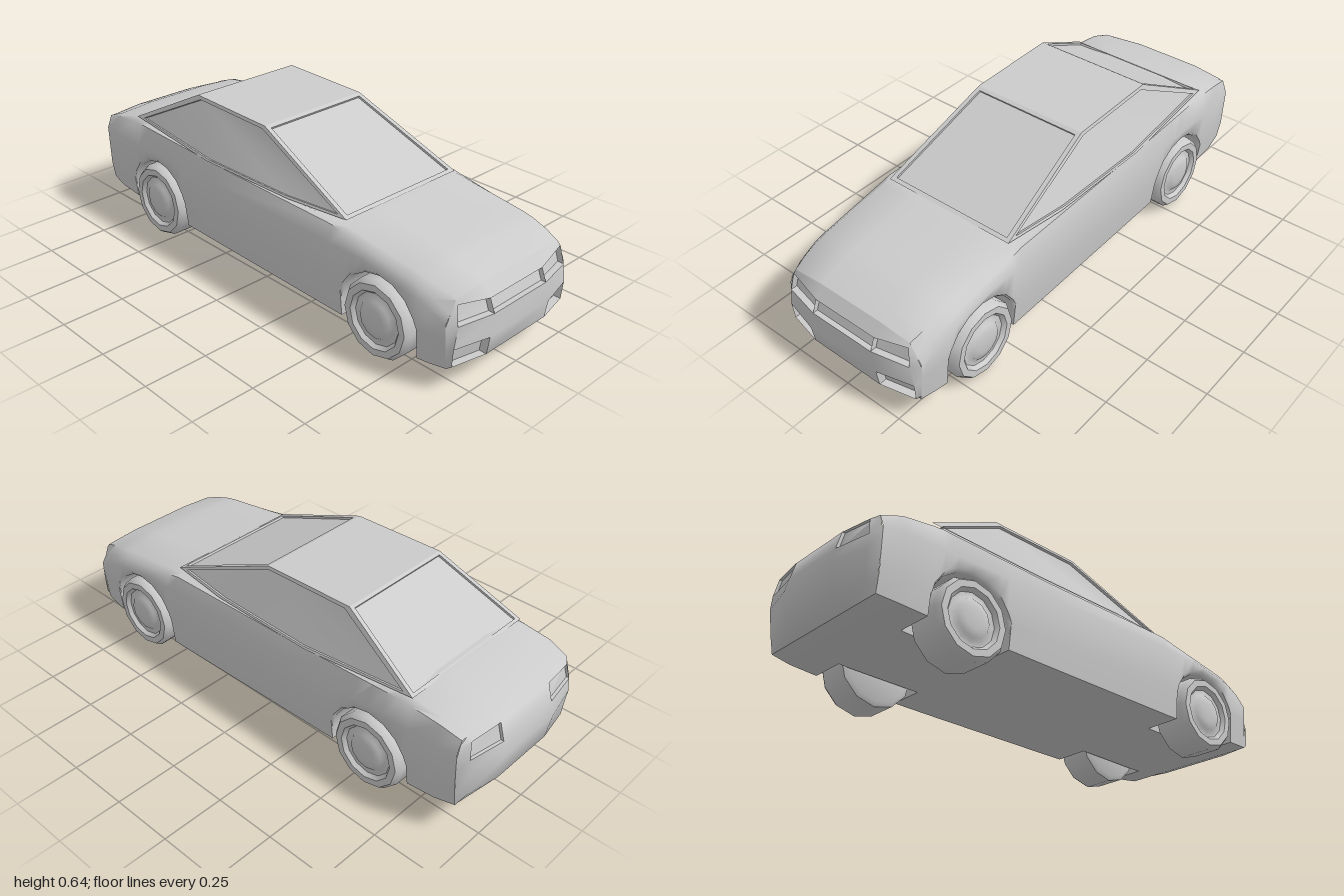
import * as THREE from 'three';
import { toCreasedNormals } from 'three/addons/utils/BufferGeometryUtils.js';

const AXLES = [0.655, -0.565];
const WHEEL_Y = 0.152;
const grey = new THREE.MeshStandardMaterial({ color: 0xcccccc });

// Mesh from a list of convex polygons (counter-clockwise from outside)
function polyMesh(name, polys, crease = 0.9) {
  const pos = [];
  for (const p of polys)
    for (let i = 1; i < p.length - 1; i++) pos.push(...p[0], ...p[i], ...p[i + 1]);
  let geo = new THREE.BufferGeometry();
  geo.setAttribute('position', new THREE.Float32BufferAttribute(pos, 3));
  geo = toCreasedNormals(geo, crease);
  const mesh = new THREE.Mesh(geo, grey);
  mesh.name = name;
  return mesh;
}

const mirror = ([x, y, z]) => [-x, y, z];
const shift = (p, d) => p.map((v, i) => v + d[i]);

// Walls joining an outer loop to an inner loop
const band = (outer, inner) => outer.map((p, i) => {
  const j = (i + 1) % outer.length;
  return [p, outer[j], inner[j], inner[i]];
});

// Body key sections: z, underside, half width, shoulder height, top height
const KEYS = [
  [0.94, 0.085, 0.315, 0.29, 0.345],
  [0.88, 0.08, 0.325, 0.325, 0.368],
  [0.80, 0.075, 0.333, 0.355, 0.39],
  [0.48, 0.085, 0.335, 0.41, 0.432],
  [0.43, 0.085, 0.335, 0.42, 0.437],
  [-0.2, 0.095, 0.335, 0.43, 0.43],
  [-0.70, 0.105, 0.335, 0.45, 0.475],
  [-0.85, 0.115, 0.33, 0.435, 0.452],
  [-0.93, 0.125, 0.318, 0.41, 0.42],
];

function sectionAt(z) {
  let k = 0;
  while (k < KEYS.length - 2 && z < KEYS[k + 1][0]) k++;
  const a = KEYS[k], b = KEYS[k + 1];
  const t = (z - a[0]) / (b[0] - a[0]);
  return a.map((v, i) => v + (b[i] - v) * t);
}

// Closed ring across the body; arch is the raised lower edge over a wheel
function ring(z, arch) {
  const [, yb, w, sh, top] = sectionAt(z);
  const ya = arch ?? yb;
  const half = [
    [0, yb], [0.18, yb], [0.18, ya], [w - 0.012, ya],
    [w, Math.max(0.2, ya + 0.012)], [w + 0.005, Math.max(ya + 0.02, Math.min(0.36, sh - 0.03))],
    [w - 0.015, sh], [w - 0.04, top - 0.01], [0.14, top], [0, top],
  ].map(([x, y]) => [x, y, z]);
  return [...half, ...half.slice(1, -1).reverse().map(mirror)];
}

// Lofted shell with wheel wells
function bodyShell() {
  const stations = KEYS.map(k => [k[0]])
    .filter(([z]) => AXLES.every(c => Math.abs(z - c) > 0.174));
  for (const c of AXLES) {
    stations.push([c + 0.1725], [c - 0.1725]);
    for (let i = 0; i <= 8; i++) {
      const a = (i / 8) * Math.PI;
      stations.push([c + 0.172 * Math.cos(a), 0.155 + 0.163 * Math.sin(a)]);
    }
  }
  stations.sort((a, b) => b[0] - a[0]);
  const rings = stations.map(s => ring(...s));
  const polys = [];
  for (let s = 0; s < rings.length - 1; s++)
    for (let i = 0; i < rings[s].length; i++) {
      const j = (i + 1) % rings[s].length;
      polys.push([rings[s][i], rings[s + 1][i], rings[s + 1][j], rings[s][j]]);
    }
  return polyMesh('bodyShell', polys);
}

// End panel from mirrored rows; recesses maps "row,column" to a depth
function endPanel(name, rows, dir, recesses) {
  const grid = rows.map(r => {
    const full = [...r.slice().reverse().map(mirror), ...r];
    return dir > 0 ? full : full.reverse();
  });
  const polys = [];
  for (let r = 0; r < grid.length - 1; r++)
    for (let c = 0; c < grid[r].length - 1; c++) {
      const cell = [grid[r][c], grid[r][c + 1], grid[r + 1][c + 1], grid[r + 1][c]];
      const depth = recesses[`${r},${c}`];
      if (depth) {
        const inner = cell.map(p => shift(p, [0, 0, -dir * depth]));
        polys.push(...band(cell, inner), inner);
      } else polys.push(cell);
    }
  return polyMesh(name, polys);
}

// Window: frame around a slightly sunken pane
function windowUnit(name, pts, inset, depth) {
  const centre = [0, 1, 2].map(i => pts.reduce((s, p) => s + p[i], 0) / pts.length);
  const rim = pts.map(p => p.map((v, i) => v + (centre[i] - v) * inset[i]));
  const pane = rim.map(p => shift(p, depth));
  const g = new THREE.Group();
  g.name = name;
  g.add(polyMesh('frame', [...band(pts, rim), ...band(rim, pane)], 0.3), polyMesh('glass', [pane], 0.5));
  return g;
}

function cabin() {
  const g = new THREE.Group();
  g.name = 'cabin';
  const A = [0.285, 0.437, 0.46], M1 = [0.315, 0.432, 0.2], M2 = [0.325, 0.432, -0.25];
  const C = [0.305, 0.468, -0.725], D = [0.245, 0.64, -0.39], E = [0.245, 0.63, 0];
  const side = [E, A, M1, M2, C, D];
  g.add(
    windowUnit('windshield', [mirror(A), A, E, mirror(E)], [0.07, 0.07, 0.07], [0, -0.008, -0.004]),
    windowUnit('rearWindow', [C, mirror(C), mirror(D), D], [0.06, 0.07, 0.07], [0, -0.008, 0.004]),
    windowUnit('leftWindow', side, [0.1, 0.1, 0.07], [-0.01, -0.003, 0]),
    windowUnit('rightWindow', side.map(mirror).reverse(), [0.1, 0.1, 0.07], [0.01, -0.003, 0]),
    polyMesh('roof', [[E, D, mirror(D), mirror(E)]]),
  );
  return g;
}

// Wheel turned around the axle, tyre and domed hub in one profile
function wheel(name, side, z) {
  const profile = [[0, 0.19], [0.135, 0.19], [0.152, 0.2], [0.152, 0.325], [0.138, 0.345],
    [0.112, 0.345], [0.1, 0.33], [0.08, 0.33], [0.07, 0.34], [0.04, 0.346], [0, 0.347]];
  const geo = new THREE.LatheGeometry(profile.map(p => new THREE.Vector2(...p)), 12);
  const mesh = new THREE.Mesh(toCreasedNormals(geo, 0.9), grey);
  mesh.name = name;
  mesh.rotation.z = -side * Math.PI / 2;
  mesh.position.set(0, WHEEL_Y, z);
  return mesh;
}

export function createModel() {
  const car = new THREE.Group();
  car.name = 'car';
  car.add(bodyShell(), cabin());

  // Nose with fog lamp, headlamp and grille recesses
  car.add(endPanel('nose', [
    [[0.16, 0.085, 0.94], [0.29, 0.085, 0.94], [0.303, 0.085, 0.94]],
    [[0.16, 0.10, 0.99], [0.30, 0.10, 0.96], [0.305, 0.10, 0.94]],
    [[0.16, 0.17, 1], [0.302, 0.17, 0.965], [0.313, 0.17, 0.94]],
    [[0.14, 0.25, 0.995], [0.287, 0.25, 0.965], [0.32, 0.25, 0.94]],
    [[0.14, 0.30, 0.975], [0.277, 0.322, 0.95], [0.30, 0.29, 0.94]],
    [[0.14, 0.345, 0.94], [0.275, 0.335, 0.94], [0.275, 0.335, 0.94]],
  ], 1, { '1,1': 0.03, '1,3': 0.03, '3,1': 0.025, '3,2': 0.02, '3,3': 0.025 }));

  // Tail with lamp recesses
  car.add(endPanel('tail', [
    [[0.16, 0.125, -0.93], [0.29, 0.125, -0.93], [0.306, 0.125, -0.93]],
    [[0.14, 0.17, -0.98], [0.28, 0.17, -0.955], [0.314, 0.17, -0.93]],
    [[0.14, 0.28, -1], [0.29, 0.28, -0.965], [0.321, 0.28, -0.93]],
    [[0.14, 0.335, -0.985], [0.29, 0.335, -0.96], [0.323, 0.345, -0.93]],
    [[0.14, 0.405, -0.965], [0.275, 0.40, -0.95], [0.31, 0.39, -0.93]],
    [[0.14, 0.42, -0.93], [0.278, 0.41, -0.93], [0.303, 0.41, -0.93]],
  ], -1, { '3,1': 0.012, '3,3': 0.012 }));

  AXLES.forEach((z, i) => {
    const end = i === 0 ? 'front' : 'rear';
    car.add(wheel(`${end}LeftWheel`, 1, z), wheel(`${end}RightWheel`, -1, z));
  });
  return car;
}
